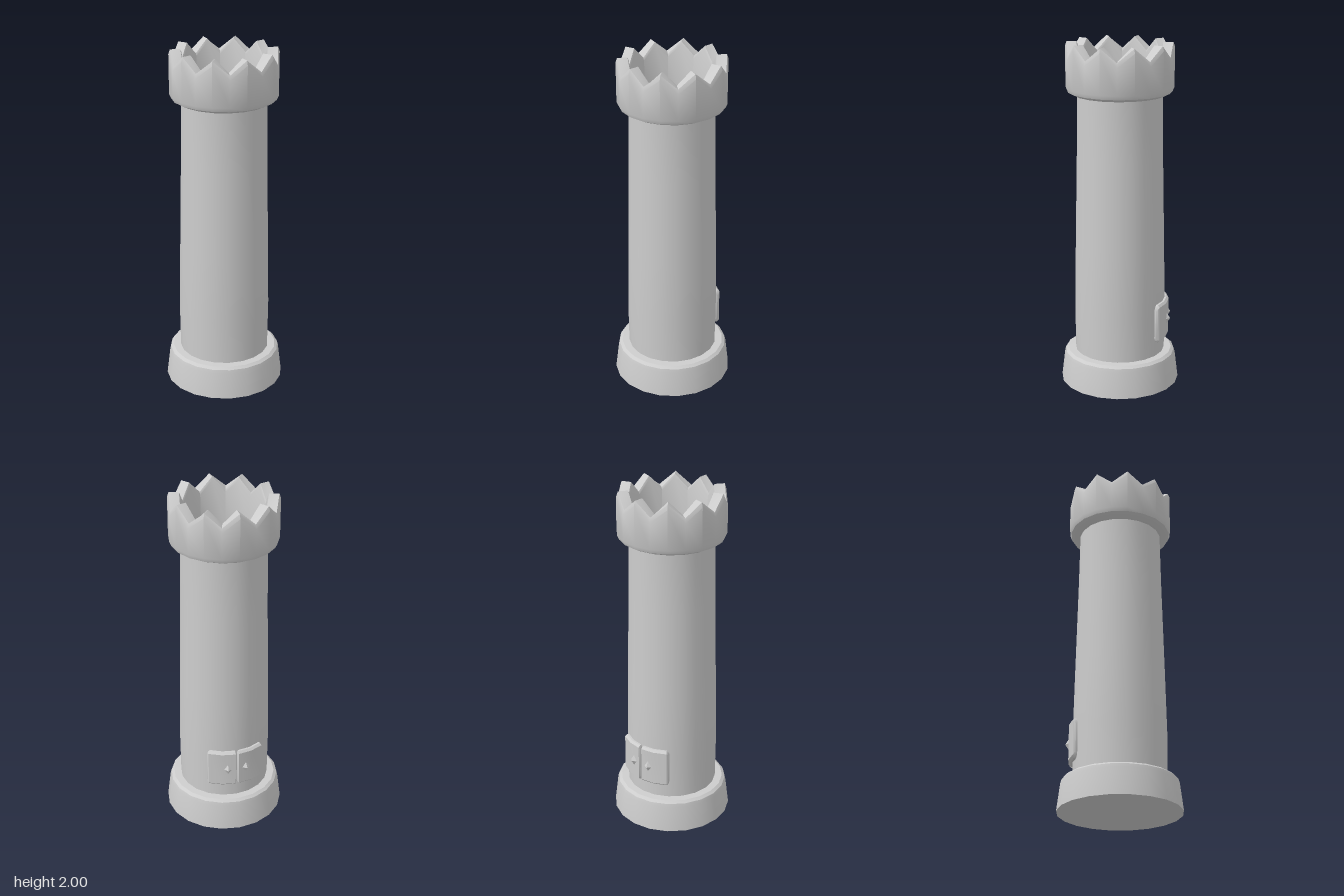
import * as THREE from 'three';
import { toCreasedNormals } from 'three/addons/utils/BufferGeometryUtils.js';

const SIDES = 20;
const CREASE = 0.6;

// Turned part from [radius, height] pairs, optionally reshaped before its edges are sharpened
function turned(profile, reshape) {
  const points = profile.map(([r, y]) => new THREE.Vector2(r, y));
  const geometry = new THREE.LatheGeometry(points, SIDES);
  if (reshape) reshape(geometry.attributes.position);
  return toCreasedNormals(geometry, CREASE);
}

// Lower every second corner of the rim so it forms ten pointed teeth
function cutTeeth(position) {
  for (let i = 0; i < position.count; i++) {
    if (position.getY(i) < 1.9) continue;
    const angle = Math.atan2(position.getX(i), position.getZ(i));
    const step = Math.round((angle / (2 * Math.PI)) * SIDES);
    if (step % 2 !== 0) position.setY(i, position.getY(i) - 0.075);
  }
}

// Curved door leaf, lofted around the back of the wall; columns are [degrees, edge inset]
function doorLeaf(columns) {
  const rIn = 0.25, rOut = 0.287, y0 = 0.275, y1 = 0.505, bevel = 0.012;
  const positions = [], index = [], n = 6;
  for (const [degrees, inset] of columns) {
    const t = THREE.MathUtils.degToRad(degrees);
    const low = y0 + inset, high = y1 - inset, out = rOut - inset * 0.6;
    const ring = [
      [rIn, low], [out - bevel, low], [out, low + bevel],
      [out, high - bevel], [out - bevel, high], [rIn, high],
    ];
    for (const [r, y] of ring) positions.push(r * Math.sin(t), y, -r * Math.cos(t));
  }
  const last = (columns.length - 1) * n;
  for (let i = 0; i < last; i += n) {
    for (let j = 0; j < n; j++) {
      const a = i + j, b = i + (j + 1) % n;
      index.push(a, b, b + n, a, b + n, a + n);
    }
  }
  for (let j = 1; j < n - 1; j++) {
    index.push(0, j + 1, j, last, last + j, last + j + 1);
  }
  const geometry = new THREE.BufferGeometry();
  geometry.setAttribute('position', new THREE.Float32BufferAttribute(positions, 3));
  geometry.setIndex(index);
  return toCreasedNormals(geometry, CREASE);
}

export function createModel() {
  const group = new THREE.Group();
  const stone = new THREE.MeshStandardMaterial({ color: 0xcccccc });
  stone.name = 'stone';

  const add = (name, geometry) => {
    const mesh = new THREE.Mesh(geometry, stone);
    mesh.name = name;
    group.add(mesh);
    return mesh;
  };

  // Foot with a sloped side and bevelled upper edge
  add('base', turned([
    [0, 0], [0.347, 0], [0.328, 0.155], [0.322, 0.175], [0.305, 0.188], [0.25, 0.19],
  ]));

  // Gently tapering wall
  add('shaft', turned([[0.262, 0.18], [0.265, 0.45], [0.257, 0.85], [0.246, 1.35], [0.24, 1.72]]));

  // Flared battlement with a hollow, floored top
  add('battlement', turned([
    [0.235, 1.705], [0.262, 1.71], [0.295, 1.727], [0.305, 1.75],
    [0.305, 1.975], [0.296, 2], [0.24, 2], [0.234, 1.985], [0.226, 1.71], [0, 1.71],
  ], cutTeeth));

  // Pair of door leaves, each with a diamond knob
  const leaf = [[0.6, 0.014], [2, 0], [18, 0], [34, 0], [36, 0.008], [37.5, 0.024]];
  for (const side of [-1, 1]) {
    const name = side > 0 ? 'left' : 'right';
    const columns = leaf.map(([t, inset]) => [side * t, inset]);
    if (side < 0) columns.reverse();
    add(name + 'DoorLeaf', doorLeaf(columns));

    const t = THREE.MathUtils.degToRad(side * 11);
    const knob = add(name + 'DoorKnob', new THREE.OctahedronGeometry(1));
    knob.scale.set(0.026, 0.036, 0.022);
    knob.position.set(0.282 * Math.sin(t), 0.39, -0.282 * Math.cos(t));
    knob.rotation.y = -t;
  }
  return group;
}
